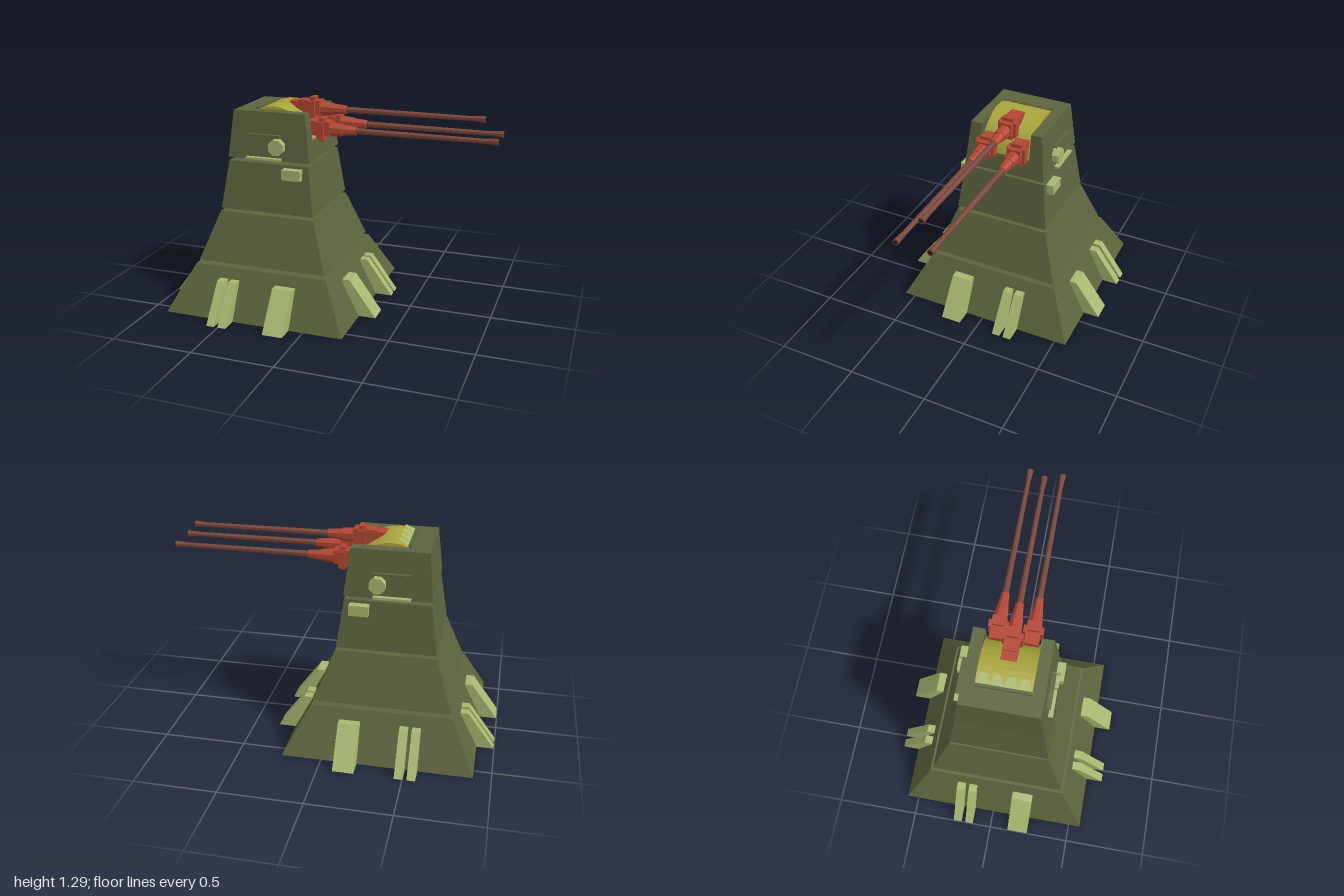
import * as THREE from 'three';

const paint = (name, color, extra = {}) => {
  const m = new THREE.MeshStandardMaterial({ color, flatShading: true, ...extra });
  m.name = name;
  return m;
};

export function createModel() {
  const armour = paint('olive armour', 0x5c643c);
  const trim = paint('pale green trim', 0xa8b870);
  const teethMat = paint('pale green plate', 0xa8b870, { side: THREE.DoubleSide });
  const yellow = paint('mustard mantlet', 0xa9a63c);
  const red = paint('gun red', 0xb24632);
  const brown = paint('barrel brown', 0x784538);
  const dark = paint('bore black', 0x2a1c18);

  const model = new THREE.Group();
  model.name = 'gunTower';

  const add = (parent, name, geo, mat) => {
    const mesh = new THREE.Mesh(geo, mat);
    mesh.name = name;
    parent.add(mesh);
    return mesh;
  };

  // Tapered block: each rectangle is [x0, x1, z0, z1]
  const block = (y0, y1, low, high = low) => {
    const geo = new THREE.BoxGeometry(1, 1, 1);
    const p = geo.attributes.position;
    for (let i = 0; i < p.count; i++) {
      const up = p.getY(i) > 0;
      const r = up ? high : low;
      p.setXYZ(i, p.getX(i) > 0 ? r[1] : r[0], up ? y1 : y0, p.getZ(i) > 0 ? r[3] : r[2]);
    }
    geo.computeVertexNormals();
    return geo;
  };

  // Prism with an x-y profile, centred on z = 0
  const prism = (points, depth) => {
    const shape = new THREE.Shape(points.map(([x, y]) => new THREE.Vector2(x, y)));
    return new THREE.ExtrudeGeometry(shape, { depth, bevelEnabled: false }).translate(0, 0, -depth / 2);
  };

  // Octagonal rod along x
  const rod = (x0, x1, r0, r1) =>
    new THREE.CylinderGeometry(r1, r0, x1 - x0, 8)
      .rotateY(Math.PI / 8).rotateZ(-Math.PI / 2).translate((x0 + x1) / 2, 0, 0);

  // Separated armour tiers
  const tiers = [
    ['baseTier', 0, 0.285, [-0.895, 0.24, -0.572, 0.572], [-0.755, 0.09, -0.425, 0.425]],
    ['lowerTier', 0.305, 0.6, [-0.74, 0.075, -0.41, 0.41], [-0.635, -0.03, -0.303, 0.303]],
    ['middleTier', 0.62, 0.915, [-0.63, -0.035, -0.302, 0.302], [-0.585, -0.075, -0.262, 0.262]],
    ['topTier', 0.935, 1.05, [-0.59, -0.07, -0.262, 0.262], [-0.578, -0.084, -0.248, 0.248]],
  ];
  for (const [name, y0, y1, low, high] of tiers) add(model, name, block(y0, y1, low, high), armour);

  // Turret walls around the gun slot
  const slot = 0.16, slotBack = -0.435;
  add(model, 'turretBack', block(1.05, 1.22,
    [-0.578, slotBack, -0.248, 0.248], [-0.56, slotBack, -0.23, 0.23]), armour);
  for (const side of [1, -1]) {
    const span = (z) => (side > 0 ? [slot, z] : [-z, -slot]);
    add(model, 'turretCheek', block(1.05, 1.22,
      [slotBack, -0.084, ...span(0.248)], [slotBack, -0.105, ...span(0.23)]), armour);
  }

  // Curved mantlet
  const arc = [[-0.43, 1.05]];
  for (let i = 0; i <= 12; i++) {
    const a = 2.0 - (1.79 * i) / 12;
    arc.push([-0.33 + 0.24 * Math.cos(a), 1 + 0.24 * Math.sin(a)]);
  }
  add(model, 'mantlet', prism(arc, 0.318), yellow);

  // Toothed plate sloping up behind the mantlet
  const teeth = new THREE.Shape();
  teeth.moveTo(-0.155, 0);
  teeth.lineTo(0.155, 0);
  for (const c of [0.116, 0.039, -0.039, -0.116]) {
    teeth.lineTo(c + 0.032, 0.022);
    teeth.lineTo(c + 0.02, 0.068);
    teeth.lineTo(c - 0.02, 0.068);
    teeth.lineTo(c - 0.032, 0.022);
  }
  const plate = add(model, 'toothedPlate', new THREE.ShapeGeometry(teeth)
    .rotateX(-Math.PI / 2).rotateY(-Math.PI / 2), teethMat);
  plate.rotation.z = 0.5;
  plate.position.set(-0.43, 1.226, 0);
  add(model, 'plateHinge', block(1.215, 1.232, [-0.443, -0.425, -0.16, 0.16]), armour);

  // Guns, x measured from the lower pair
  const makeGun = (name, x, y, z) => {
    const gun = new THREE.Group();
    gun.name = name;
    gun.position.set(x, y, z);
    add(gun, 'breech', block(-0.035, 0.05, [-0.13, 0.012, -0.042, 0.042]), red);
    add(gun, 'collar', block(-0.05, 0.045, [-0.062, -0.018, -0.058, 0.058]), red);
    add(gun, 'collarSpine', block(-0.07, 0.07, [-0.055, -0.022, -0.034, 0.034]), red);
    add(gun, 'sleeve', rod(0.012, 0.085, 0.042, 0.037), red);
    add(gun, 'sleeveNose', rod(0.085, 0.17, 0.033, 0.025), red);
    add(gun, 'barrel', rod(0.17, 0.93, 0.019, 0.014), brown);
    add(gun, 'muzzle', rod(0.93, 1.0, 0.015, 0.02), brown);
    add(gun, 'bore', rod(0.995, 1.001, 0.012, 0.012), dark);
    model.add(gun);
    return gun;
  };
  makeGun('leftGun', 0, 1.115, 0.1);
  makeGun('rightGun', 0, 1.115, -0.1);
  const upper = makeGun('upperGun', -0.095, 1.217, 0);
  add(upper, 'breechTail', prism([[-0.185, 0.04], [-0.12, -0.01], [-0.03, -0.02], [-0.03, 0.04]], 0.09), red);

  // Sloped buttresses: one wide and two ribs on each side of the base
  const buttress = (width) => prism([[0.1, 0], [-0.065, 0.225], [-0.112, 0.225], [-0.112, 0]], width);
  const wallSet = (sign, along) => {
    for (const [c, w] of along) {
      const onX = add(model, 'buttress', buttress(w), trim);
      onX.rotation.y = sign > 0 ? 0 : Math.PI;
      onX.position.set(sign > 0 ? 0.243 : -0.898, 0, c);
    }
  };
  for (const sign of [1, -1]) {
    wallSet(sign, [[0.177, 0.128], [-0.142, 0.05], [-0.217, 0.052]]);
    for (const [c, w] of [[-0.152, 0.126], [-0.55, 0.05], [-0.476, 0.05]]) {
      const onZ = add(model, 'buttress', buttress(w), trim);
      onZ.rotation.y = -sign * Math.PI / 2;
      onZ.position.set(c, 0, sign * 0.572);
    }
  }

  // Side fittings, mirrored front and back
  for (const sign of [1, -1]) {
    const span = (a, b) => (sign > 0 ? [a, b] : [-b, -a]);
    const port = new THREE.CylinderGeometry(0.05, 0.05, 0.07, 8).rotateY(Math.PI / 8).rotateX(Math.PI / 2);
    add(model, 'roundPort', port, trim).position.set(-0.27, 1.02, sign * 0.257);
    add(model, 'portLedge', block(0.938, 0.952, [-0.465, -0.245, ...span(0.24, 0.288)]), trim);
    add(model, 'visorLedge', block(1.081, 1.089, [-0.46, -0.245, ...span(0.22, 0.27)]), armour);
    add(model, 'sideBox', block(0.835, 0.898, [-0.225, -0.11, ...span(0.24, 0.314)]), trim);
  }

  return model;
}
